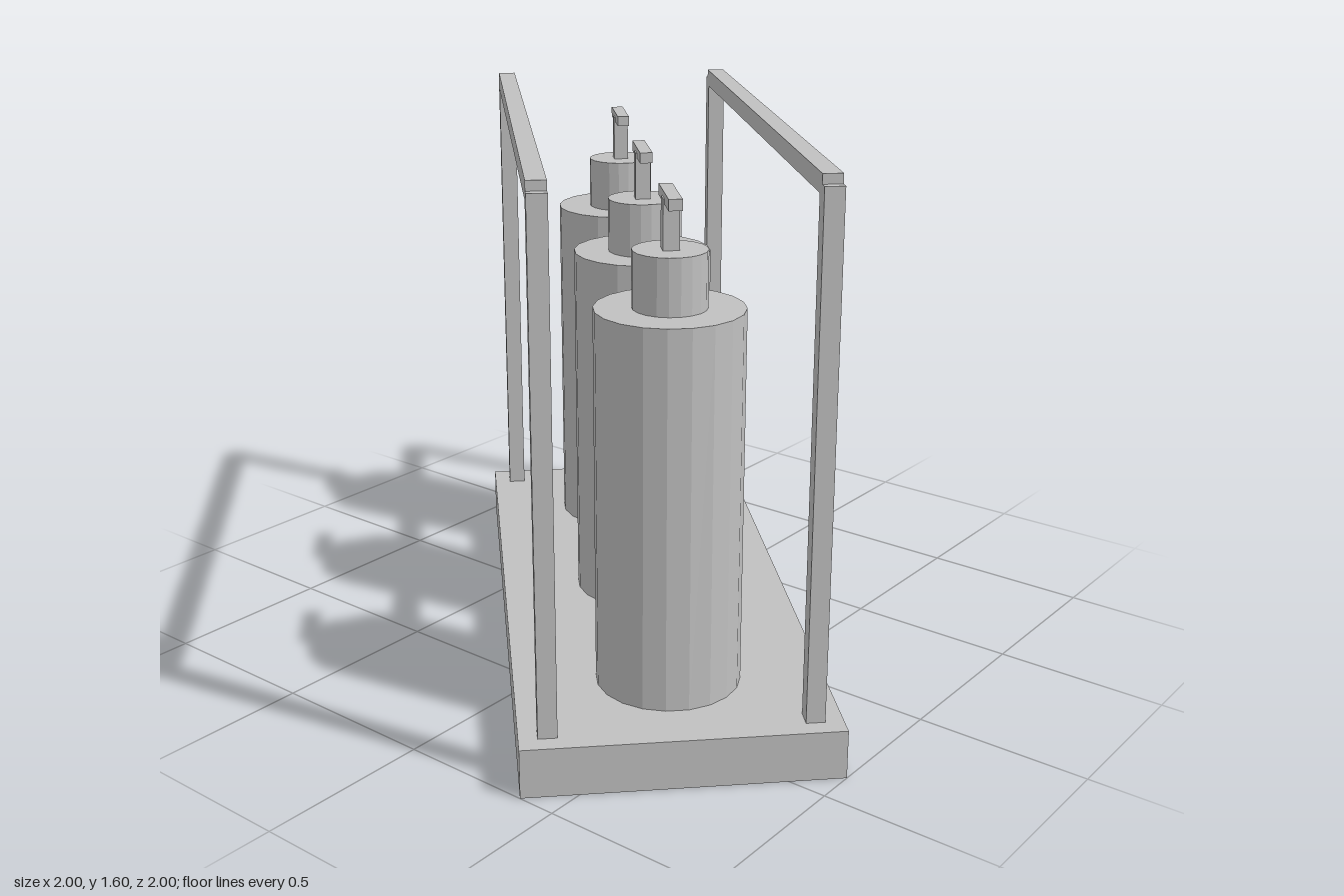
import * as THREE from 'three';

export function createModel() {
  const model = new THREE.Group();
  model.name = 'dispenserStand';
  // The whole stand sits diagonally
  const stand = new THREE.Group();
  stand.name = 'stand';
  stand.rotation.y = -Math.PI / 4;
  model.add(stand);

  const grey = new THREE.MeshStandardMaterial({ color: 0xc0c0c0, flatShading: true });
  grey.name = 'grey';

  const add = (parent, name, geometry, x, y, z) => {
    const mesh = new THREE.Mesh(geometry, grey);
    mesh.name = name;
    mesh.position.set(x, y, z);
    parent.add(mesh);
    return mesh;
  };
  const box = (parent, name, w, y0, y1, d, x = 0, z = 0) =>
    add(parent, name, new THREE.BoxGeometry(w, y1 - y0, d), x, (y0 + y1) / 2, z);
  const cylinder = (parent, name, r, y0, y1) => {
    const mesh = add(parent, name, new THREE.CylinderGeometry(r, r, y1 - y0, 20), 0, (y0 + y1) / 2, 0);
    mesh.rotation.y = Math.PI / 4;
  };

  // Base slab
  box(stand, 'base', 1.966, 0, 0.14, 0.862);

  // Two rail frames along the long edges
  for (const side of [-1, 1]) {
    const frame = new THREE.Group();
    frame.name = side > 0 ? 'frontFrame' : 'backFrame';
    frame.position.z = side * 0.354;
    stand.add(frame);
    for (const end of [-1, 1]) box(frame, 'post', 0.052, 0.14, 1.576, 0.052, end * 0.905);
    box(frame, 'rail', 1.81, 1.55, 1.602, 0.052);
  }

  // Three pump bottles in a row
  for (const i of [-1, 0, 1]) {
    const bottle = new THREE.Group();
    bottle.name = 'pumpBottle';
    bottle.position.x = i * 0.627;
    stand.add(bottle);
    cylinder(bottle, 'body', 0.201, 0.14, 1.205);
    cylinder(bottle, 'collar', 0.1, 1.205, 1.36);
    box(bottle, 'stem', 0.044, 1.36, 1.495, 0.044);
    box(bottle, 'pumpHead', 0.2, 1.48, 1.51, 0.036);
  }
  return model;
}
